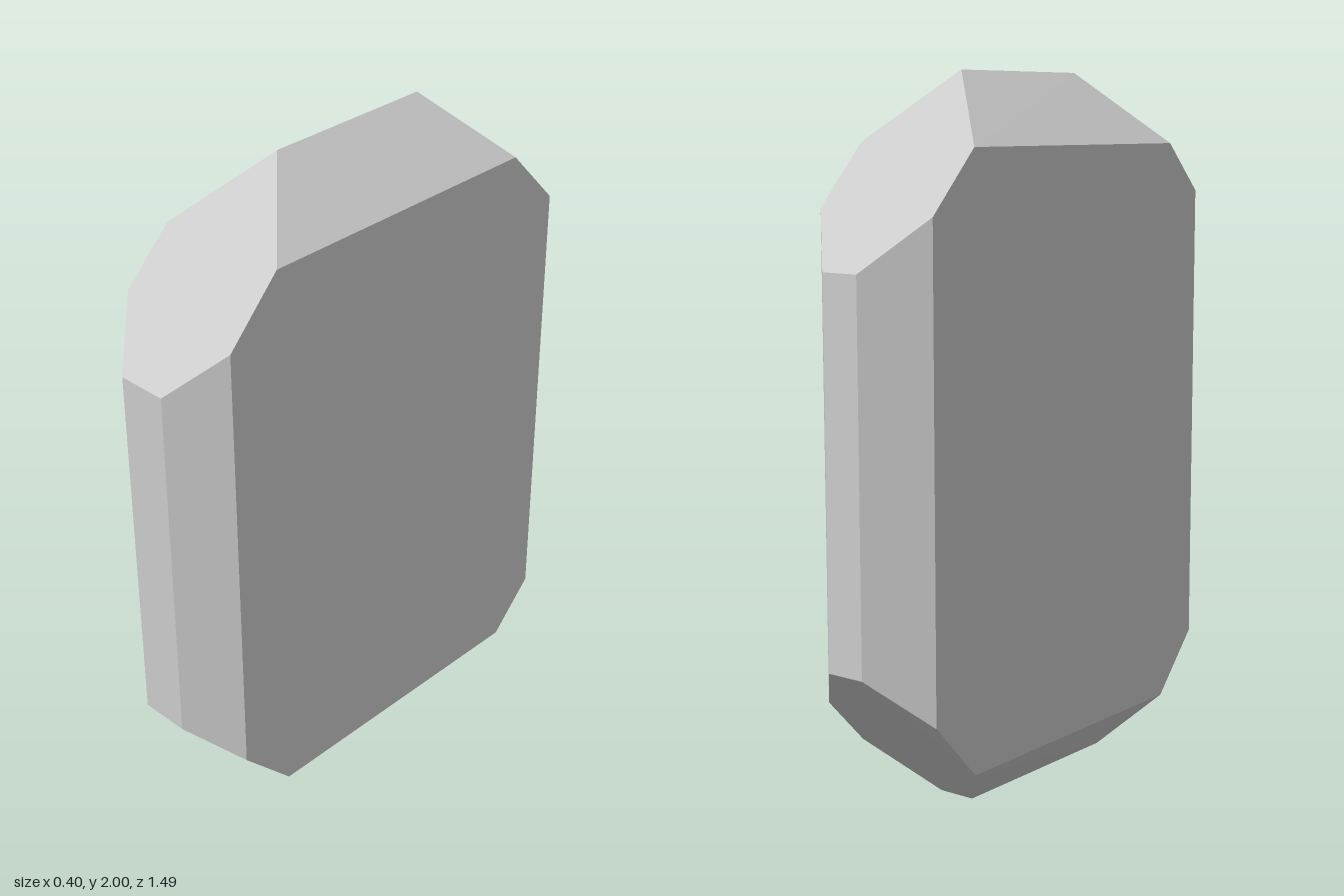
import * as THREE from 'three';
import { ConvexGeometry } from 'three/addons/geometries/ConvexGeometry.js';

export function createModel() {
  const group = new THREE.Group();
  const points = [];
  const add = (x, y, z) => points.push(new THREE.Vector3(x, y, z));

  // Each end: outer face, bevels to the broad sides, and the slopes to ridge and base
  const ends = [
    { face: 0.745, xs: [-0.065, 0.08], high: 1.52, low: 0.45, ridge: 0.27, base: 0.3,
      sides: [
        { x: -0.195, bevel: 0.605, high: 1.66, low: 0.31, top: 0.465, bottom: 0.45 },
        { x: 0.2, bevel: 0.62, high: 1.64, low: 0.33, top: 0.46, bottom: 0.46 },
      ] },
    { face: -0.745, xs: [-0.065, 0.05], high: 1.49, low: 0.445, ridge: -0.24, base: -0.3,
      sides: [
        { x: -0.2, bevel: -0.61, high: 1.63, low: 0.31, top: -0.445, bottom: -0.45 },
        { x: 0.2, bevel: -0.59, high: 1.64, low: 0.3, top: -0.43, bottom: -0.455 },
      ] },
  ];

  for (const end of ends) {
    // Narrow end face
    for (const x of end.xs) {
      add(x, end.high, end.face);
      add(x, end.low, end.face);
    }
    // Top ridge and flat base strip
    add(0.01, 2, end.ridge);
    add(-0.065, 0, end.base);
    add(0.045, 0, end.base);
    // Corners of the broad octagonal sides
    for (const s of end.sides) {
      add(s.x, s.high, s.bevel);
      add(s.x, s.low, s.bevel);
      add(s.x, s.x < 0 ? 1.8 : 1.81, s.top);
      add(s.x, s.x < 0 ? 0.14 : 0.16, s.bottom);
    }
  }

  // Faceted solid wrapped around the corners
  const crystal = new THREE.Mesh(
    new ConvexGeometry(points),
    new THREE.MeshStandardMaterial({ color: 0xcccccc, flatShading: true })
  );
  crystal.name = 'facetedCrystal';
  group.add(crystal);
  return group;
}
